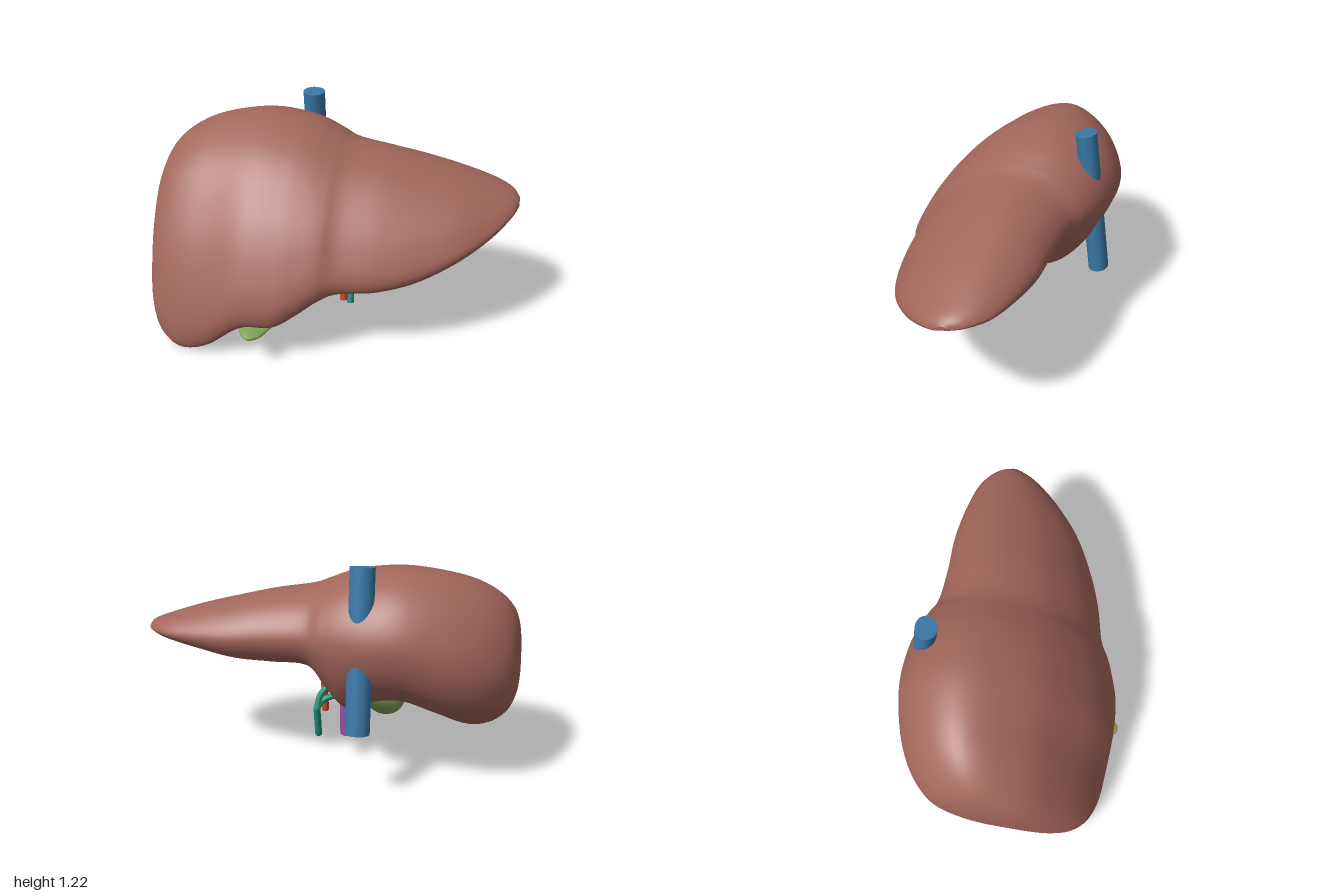
import * as THREE from 'three';

const mat = (name, color) => Object.assign(new THREE.MeshStandardMaterial({ color }), { name });

// Uniform Catmull-Rom blend through rows of numbers, t in 0..1
function blendRows(rows, t) {
  const f = t * (rows.length - 1), i = Math.min(Math.floor(f), rows.length - 2), s = f - i;
  const at = k => rows[Math.max(0, Math.min(rows.length - 1, k))];
  return rows[i].map((b, k) => {
    const a = at(i - 1)[k], c = at(i + 1)[k], d = at(i + 2)[k];
    return b + 0.5 * s * (c - a + s * (2 * a - 5 * b + 4 * c - d + s * (3 * (b - c) + d - a)));
  });
}

// Closed smooth skin over rings of equal length, with a centre point on each end
function loft(rings) {
  const n = rings[0].length, last = (rings.length - 1) * n;
  const pts = rings.flat(), index = [];
  const centre = ring => ring.reduce((s, p) => s.add(p), new THREE.Vector3()).divideScalar(n);
  const c0 = pts.length, c1 = c0 + 1;
  pts.push(centre(rings[0]), centre(rings[rings.length - 1]));
  for (let j = 0; j < n; j++) {
    const k = (j + 1) % n;
    for (let i = 0; i < last; i += n) {
      index.push(i + j, i + n + j, i + k, i + n + j, i + n + k, i + k);
    }
    index.push(c0, j, k, c1, last + k, last + j);
  }
  const g = new THREE.BufferGeometry().setFromPoints(pts);
  g.setIndex(index);
  g.computeVertexNormals();
  return g;
}

// Cross-sections across the organ: x, back z, front z, low y, high y,
// then the underside heights (share of the section) at front, middle and rear
const LOBES = [
  [-1.0, -0.1, 0.15, 0.4, 0.68, 0.1, 0.21, 0.33],
  [-0.985, -0.21, 0.27, 0.26, 0.82, 0.1, 0.21, 0.33],
  [-0.95, -0.33, 0.39, 0.13, 0.93, 0.1, 0.21, 0.33],
  [-0.88, -0.42, 0.48, 0.045, 1.015, 0.09, 0.2, 0.33],
  [-0.76, -0.5, 0.54, 0.0, 1.09, 0.09, 0.2, 0.33],
  [-0.6, -0.555, 0.565, 0.05, 1.137, 0.09, 0.2, 0.32],
  [-0.4, -0.582, 0.58, 0.2, 1.16, 0.08, 0.18, 0.27],
  [-0.22, -0.572, 0.578, 0.23, 1.145, 0.17, 0.3, 0.23],
  [-0.1, -0.543, 0.545, 0.3, 1.115, 0.16, 0.3, 0.12],
  [0.0, -0.503, 0.505, 0.37, 1.073, 0.15, 0.27, 0.17],
  [0.1, -0.457, 0.457, 0.405, 1.033, 0.12, 0.22, 0.32],
  [0.3, -0.437, 0.42, 0.42, 0.997, 0.17, 0.28, 0.34],
  [0.5, -0.43, 0.355, 0.465, 0.952, 0.19, 0.3, 0.35],
  [0.7, -0.393, 0.25, 0.55, 0.9, 0.2, 0.33, 0.39],
  [0.86, -0.34, 0.11, 0.635, 0.85, 0.2, 0.34, 0.43],
  [0.96, -0.26, -0.02, 0.705, 0.81, 0.2, 0.35, 0.45],
  [1.0, -0.18, -0.11, 0.74, 0.774, 0.2, 0.35, 0.45],
];

// One section: sharp front edge, domed top, rounded back, sloping hollow underside
function lobeRing(t) {
  const [x, z0, z1, y0, y1, a, b, c] = blendRows(LOBES, t);
  const outline = [
    [0.965, 0], [1, 0.11], [0.93, 0.37], [0.8, 0.63], [0.58, 0.89], [0.3, 1],
    [0.1, 0.89], [0, 0.67], [0.06, 0.3 + 0.5 * c], [0.25, c], [0.48, b], [0.72, a],
  ].map(([u, v]) => new THREE.Vector3(x, y0 + v * (y1 - y0), z0 + u * (z1 - z0)));
  return new THREE.CatmullRomCurve3(outline, true).getPoints(84).slice(0, -1);
}

// Gallbladder sections: x, y, z, half width, half height
const BLADDER = [
  [-0.16, 0.3, 0.08, 0.014, 0.014],
  [-0.215, 0.265, 0.13, 0.065, 0.053],
  [-0.265, 0.225, 0.2, 0.094, 0.083],
  [-0.28, 0.217, 0.3, 0.102, 0.075],
  [-0.3, 0.21, 0.4, 0.1, 0.043],
  [-0.325, 0.195, 0.5, 0.085, 0.024],
  [-0.33, 0.19, 0.58, 0.055, 0.018],
  [-0.33, 0.19, 0.615, 0.012, 0.008],
];

function bladderRing(t) {
  const [x, y, z, w, h] = blendRows(BLADDER, t);
  return Array.from({ length: 32 }, (_, j) => {
    const a = (j / 32) * Math.PI * 2;
    return new THREE.Vector3(x + w * Math.cos(a), y - h * Math.sin(a), z);
  });
}

export function createModel() {
  const model = new THREE.Group();
  const tissue = mat('liverBrown', 0xa2665a);
  const olive = mat('gallbladderGreen', 0x80a055);
  const blue = mat('veinBlue', 0x3878a8);
  const purple = mat('portalPurple', 0x9055a3);
  const red = mat('arteryRed', 0xcc4a3e);
  const teal = mat('ductTeal', 0x1f9078);

  const add = (name, geometry, material) => {
    const m = new THREE.Mesh(geometry, material);
    m.name = name;
    model.add(m);
    return m;
  };
  // Straight vessel between two points, optionally wider across x
  const vessel = (name, from, to, r, material, widen = 1) => {
    const a = new THREE.Vector3(...from), b = new THREE.Vector3(...to);
    const g = new THREE.CylinderGeometry(r, r, a.distanceTo(b), 32).scale(widen, 1, 1);
    const m = add(name, g, material);
    m.position.copy(a).lerp(b, 0.5);
    m.quaternion.setFromUnitVectors(new THREE.Vector3(0, 1, 0), b.sub(a).normalize());
  };
  // Curved duct through points
  const duct = (name, points, r) => {
    const path = new THREE.CatmullRomCurve3(points.map(p => new THREE.Vector3(...p)));
    add(name, new THREE.TubeGeometry(path, 32, r, 16), teal);
  };
  const rings = (count, make) => Array.from({ length: count + 1 }, (_, i) => make(i / count));

  // Organ body and gallbladder
  add('liverLobes', loft(rings(160, lobeRing)), tissue);
  add('gallbladder', loft(rings(42, bladderRing)), olive);

  // Blood vessels
  vessel('venaCava', [-0.2, 0.39, -0.56], [-0.2, 1.205, -0.43], 0.055, blue, 1.13);
  vessel('portalVein', [-0.083, 0.143, -0.072], [-0.083, 0.58, -0.1], 0.045, purple);
  vessel('hepaticArtery', [0.085, 0.18, 0.13], [0.085, 0.53, 0.098], 0.021, red);

  // Bile ducts
  vessel('commonBileDuct', [0.103, 0.078, 0.006], [0.103, 0.27, -0.042], 0.02, teal);
  duct('hepaticDuct', [[0.103, 0.26, -0.042], [0.085, 0.34, -0.02], [0.035, 0.4, -0.003], [-0.04, 0.47, 0.015]], 0.018);
  duct('cysticDuct', [[0.103, 0.26, -0.042], [0.075, 0.305, -0.018], [0, 0.328, 0.015], [-0.08, 0.32, 0.055], [-0.165, 0.297, 0.09]], 0.017);

  return model;
}
